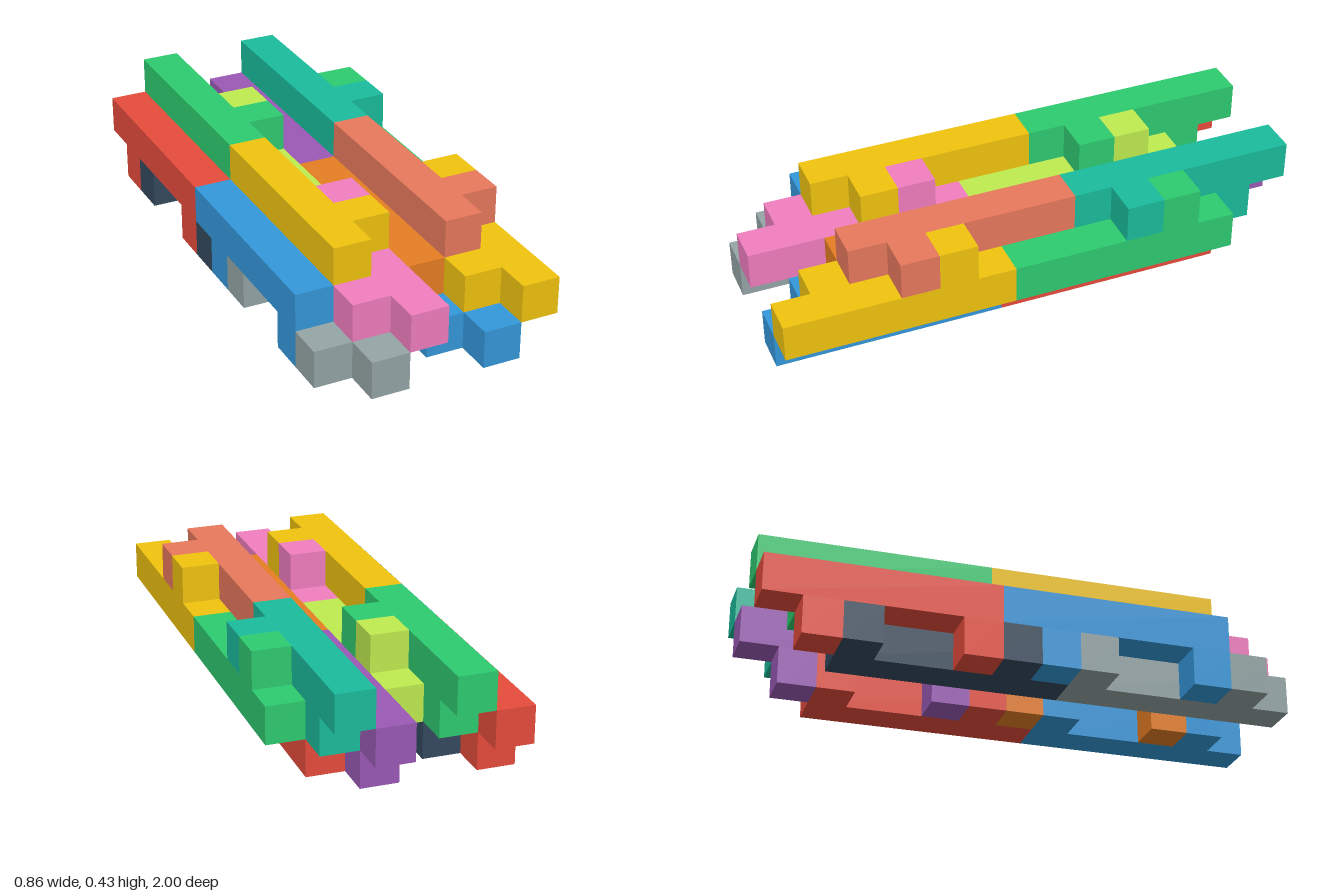
import * as THREE from 'three';
import { mergeGeometries } from 'three/addons/utils/BufferGeometryUtils.js';

const U = 1 / 7; // edge of one cube cell

// Box covering whole cells, from cell (x, y, z), with a length along z
function cells(x, y, z, length = 1) {
  const g = new THREE.BoxGeometry(U, U, U * length);
  g.translate((x - 2.5) * U, (y + 0.5) * U, (z - 7 + length / 2) * U);
  return g;
}

// Four interlocking bars around one axis: cell column x, height y, start z,
// and two studs given as [x, y, z offset along the bar]
const BARS = [
  { name: 'topBar', x: 1, y: 2, z: 0, studs: [[2, 2, 4], [1, 1, 1]] },
  { name: 'rightBar', x: 2, y: 1, z: 2, studs: [[2, 2, 1], [1, 1, 4]] },
  { name: 'leftBar', x: 0, y: 1, z: 0, studs: [[0, 0, 1], [0, 0, 5]] },
  { name: 'bottomBar', x: 1, y: 0, z: 2, studs: [[0, 0, 0], [0, 0, 4]] },
];

const RED = 0xe74c3c, GREEN = 0x2ecc71, BLUE = 0x3498db, YELLOW = 0xf1c40f;

// Each bundle: cell offset in x and z, colors in the order of BARS
const BUNDLES = [
  { name: 'backFirstBundle', dx: 0, dz: 0, colors: [GREEN, 0xc0ec50, RED, 0x34495e] },
  { name: 'frontFirstBundle', dx: 0, dz: 6, colors: [YELLOW, 0xf17ec0, BLUE, 0x95a5a6] },
  { name: 'backSecondBundle', dx: 3, dz: 0, colors: [0x1abc9c, GREEN, 0x9b59b6, RED] },
  { name: 'frontSecondBundle', dx: 3, dz: 6, colors: [0xe9795d, YELLOW, 0xe67e22, BLUE] },
];

export function createModel() {
  const model = new THREE.Group();
  model.name = 'interlockingBars';
  for (const { name, dx, dz, colors } of BUNDLES) {
    const bundle = new THREE.Group();
    bundle.name = name;
    BARS.forEach((bar, i) => {
      // Six-cell bar with its two studs
      const parts = [cells(bar.x + dx, bar.y, bar.z + dz, 6)];
      for (const [x, y, k] of bar.studs) parts.push(cells(x + dx, y, bar.z + dz + k));
      const material = new THREE.MeshStandardMaterial({ color: colors[i] });
      const mesh = new THREE.Mesh(mergeGeometries(parts), material);
      mesh.name = bar.name;
      bundle.add(mesh);
    });
    model.add(bundle);
  }
  return model;
}
